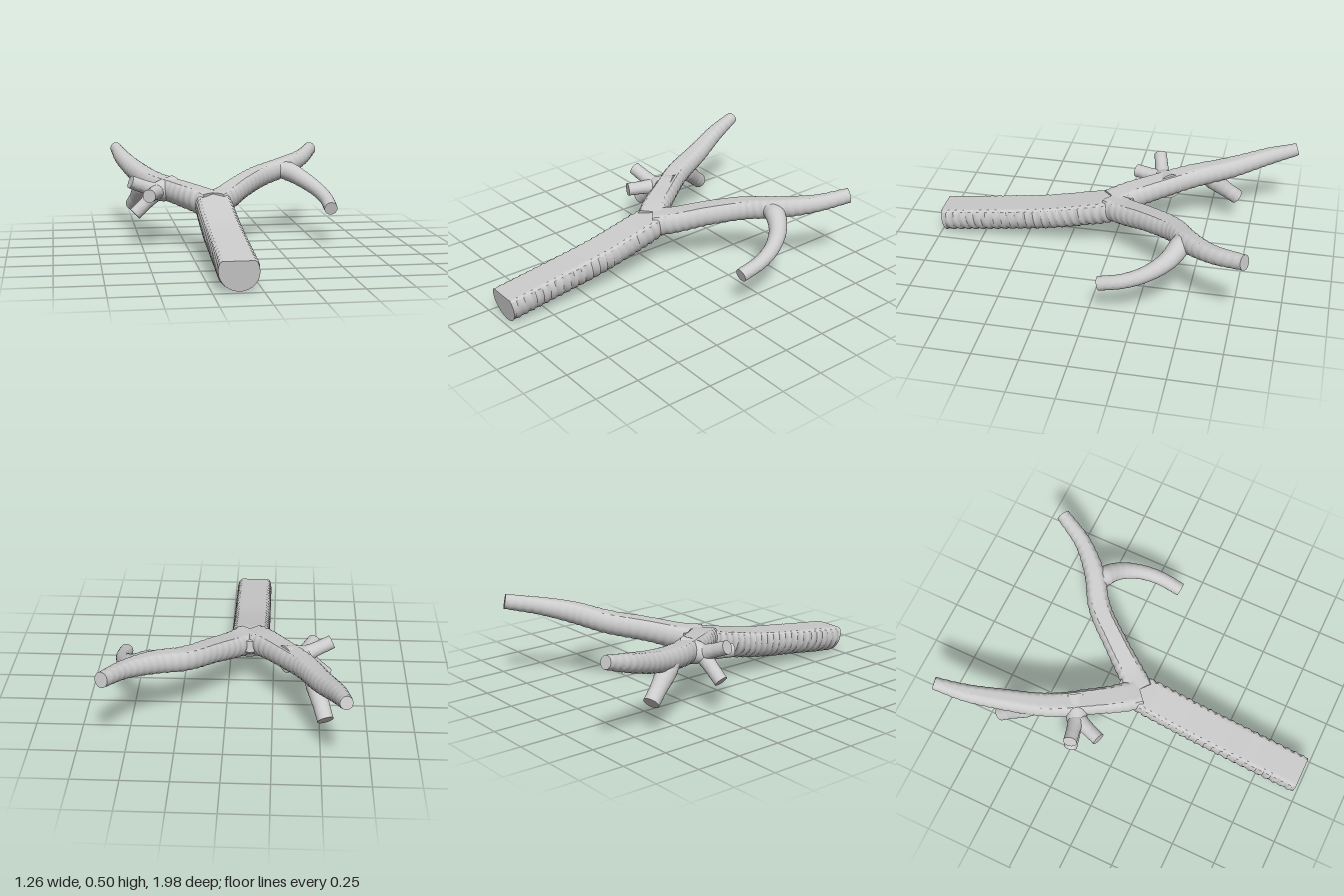
import * as THREE from 'three';
import { toCreasedNormals } from 'three/addons/utils/BufferGeometryUtils.js';

const SIDES = 28;
const material = new THREE.MeshStandardMaterial({ color: 0xcccccc });

// Sweeps a round section with a planed top along a smooth path.
// stations: [x, y, z, radius]; flat: height of the planed top in radii, start to end.
function limb(name, stations, { flat = [1, 1], ripple = 0.05, width = 1 } = {}) {
  const curve = new THREE.CatmullRomCurve3(stations.map(s => new THREE.Vector3(s[0], s[1], s[2])));
  const rings = Math.max(8, Math.ceil(curve.getLength() / 0.011));
  const positions = [], index = [];
  const up = new THREE.Vector3(0, 1, 0);
  const centres = [];
  let travelled = 0;
  for (let i = 0; i <= rings; i++) {
    const t = i / rings;
    const c = curve.getPoint(t);
    const tangent = curve.getTangent(t);
    const side = tangent.clone().cross(up).normalize();
    const normal = side.clone().cross(tangent);
    const k = Math.min(Math.floor(t * (stations.length - 1)), stations.length - 2);
    const f = t * (stations.length - 1) - k;
    const radius = THREE.MathUtils.lerp(stations[k][3], stations[k + 1][3], f);
    const top = THREE.MathUtils.lerp(flat[0], flat[1], t);
    if (i) travelled += c.distanceTo(centres[i - 1]);
    centres.push(c);
    for (let j = 0; j < SIDES; j++) {
      const a = j / SIDES * Math.PI * 2;
      // bark rings bite slightly inwards and wander around the limb
      const wave = 0.5 + 0.5 * Math.sin(travelled * 135 + 0.9 * Math.sin(a * 2 + travelled * 9));
      const r = radius * (1 - ripple * wave);
      const y = Math.min(r * Math.sin(a), radius * top);
      const p = c.clone().addScaledVector(side, r * width * Math.cos(a)).addScaledVector(normal, y);
      positions.push(p.x, p.y, p.z);
    }
  }
  for (let i = 0; i < rings; i++) {
    for (let j = 0; j < SIDES; j++) {
      const a = i * SIDES + j, b = i * SIDES + (j + 1) % SIDES;
      index.push(a, a + SIDES, b, b, a + SIDES, b + SIDES);
    }
  }
  // sawn ends
  const first = positions.length / 3, last = rings * SIDES;
  positions.push(...centres[0].toArray(), ...centres[rings].toArray());
  for (let j = 0; j < SIDES; j++) {
    const n = (j + 1) % SIDES;
    index.push(first, j, n, first + 1, last + n, last + j);
  }
  const geometry = new THREE.BufferGeometry();
  geometry.setAttribute('position', new THREE.Float32BufferAttribute(positions, 3));
  geometry.setIndex(index);
  const mesh = new THREE.Mesh(toCreasedNormals(geometry, 0.6), material);
  mesh.name = name;
  return mesh;
}

export function createModel() {
  const group = new THREE.Group();
  group.name = 'forkedBranch';

  // thick stem, planed flat on top, closing inside the fork
  group.add(limb('stem', [
    [-0.12, 0.105, 0.98, 0.106], [-0.12, 0.145, 0.68, 0.106], [-0.12, 0.192, 0.36, 0.106],
    [-0.12, 0.255, 0.08, 0.105], [-0.12, 0.285, -0.05, 0.096], [-0.12, 0.295, -0.12, 0.045],
  ], { flat: [0.5, 0.5], ripple: 0.07 }));

  // left fork with its curved twig
  group.add(limb('leftFork', [
    [-0.11, 0.275, 0.0, 0.088], [-0.04, 0.288, -0.09, 0.08], [0.07, 0.327, -0.235, 0.072],
    [0.21, 0.365, -0.4, 0.068], [0.37, 0.4, -0.51, 0.063], [0.5, 0.432, -0.645, 0.05],
    [0.592, 0.467, -0.812, 0.042],
  ], { flat: [0.65, 0.95], width: 0.92 }));
  group.add(limb('leftTwig', [
    [0.31, 0.39, -0.47, 0.045], [0.39, 0.378, -0.455, 0.057], [0.47, 0.335, -0.405, 0.049],
    [0.535, 0.288, -0.31, 0.042], [0.565, 0.25, -0.2, 0.039], [0.564, 0.215, -0.065, 0.038],
  ], { ripple: 0.02 }));

  // right fork
  group.add(limb('rightFork', [
    [-0.13, 0.275, 0.0, 0.09], [-0.2, 0.293, -0.08, 0.083], [-0.29, 0.31, -0.21, 0.076],
    [-0.41, 0.335, -0.4, 0.07], [-0.5, 0.375, -0.63, 0.062], [-0.57, 0.43, -0.83, 0.05],
    [-0.603, 0.474, -0.985, 0.036],
  ], { flat: [0.65, 0.95], width: 0.95 }));

  // spur hanging below the right fork
  group.add(limb('lowerSpur', [
    [-0.45, 0.345, -0.47, 0.05], [-0.475, 0.285, -0.53, 0.054],
    [-0.5, 0.22, -0.6, 0.044], [-0.522, 0.168, -0.66, 0.043],
  ], { ripple: 0.02 }));

  // knot on the outer side, with three cut spurs
  group.add(limb('knot', [
    [-0.31, 0.315, -0.3, 0.075], [-0.38, 0.31, -0.255, 0.062],
    [-0.425, 0.307, -0.235, 0.05], [-0.45, 0.305, -0.22, 0.025],
  ], { ripple: 0.02 }));
  const spurEnds = [[-0.56, 0.372, -0.2], [-0.465, 0.307, -0.08], [-0.537, 0.185, -0.22]];
  spurEnds.forEach((end, i) => {
    const start = [-0.405, 0.308, -0.24];
    const middle = start.map((v, n) => (v + end[n]) / 2);
    group.add(limb('knotSpur' + (i + 1),
      [[...start, 0.046], [...middle, 0.038], [...end, 0.037]], { ripple: 0.02 }));
  });

  return group;
}
